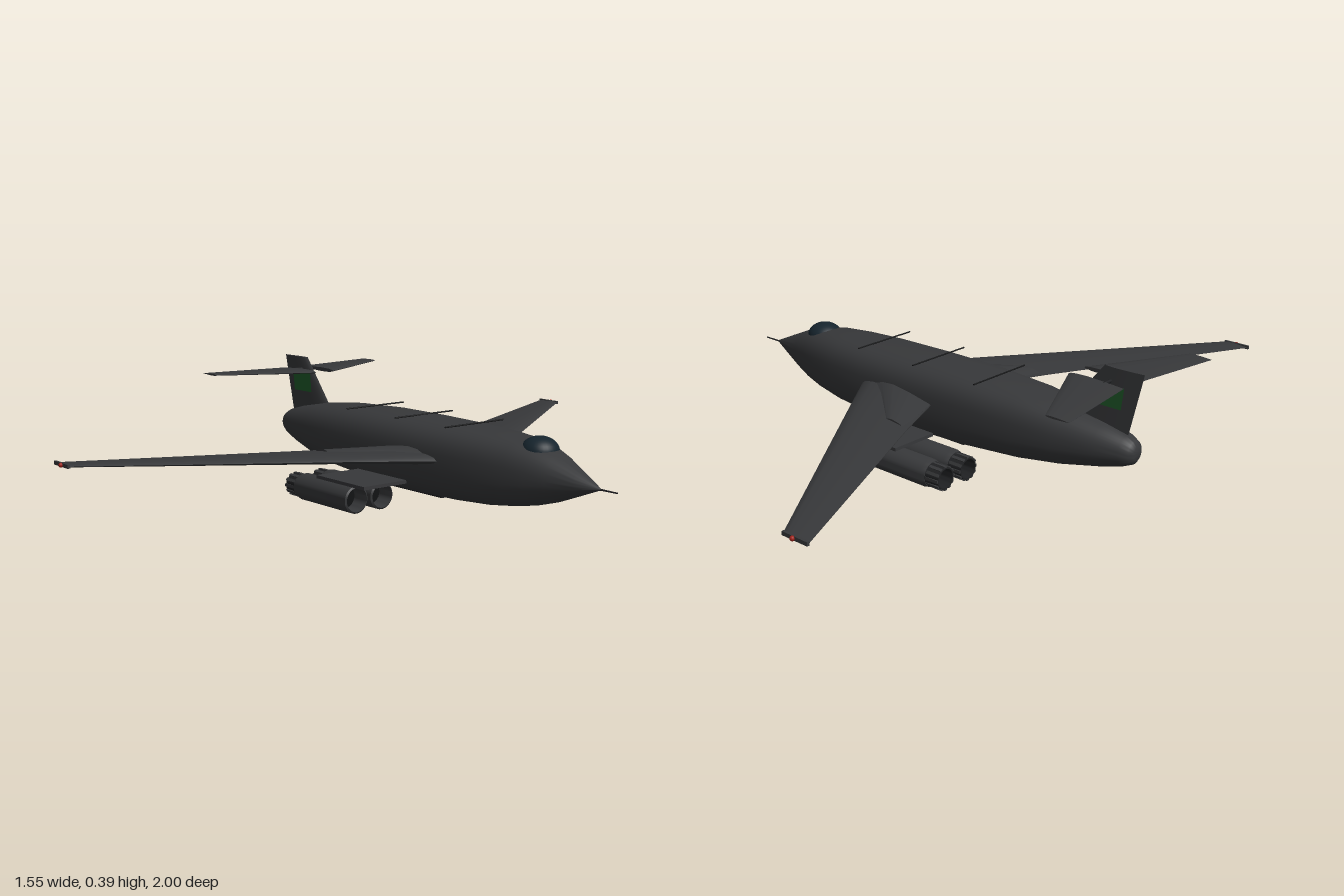
import * as THREE from 'three';
import { toCreasedNormals } from 'three/addons/utils/BufferGeometryUtils.js';

const paint = (color) => new THREE.MeshStandardMaterial({ color, side: THREE.DoubleSide });

// Skin a list of closed rings (arrays of [x, y, z]) and cap both ends
function loft(rings, flip, crease = 0.6) {
  const n = rings[0].length;
  const pos = rings.flat(2);
  const index = [];
  const tri = (a, b, c) => (flip ? index.push(a, c, b) : index.push(a, b, c));
  for (let i = 0; i < rings.length - 1; i++) {
    for (let j = 0; j < n; j++) {
      const a = i * n + j, b = i * n + ((j + 1) % n);
      tri(a, a + n, b);
      tri(b, a + n, b + n);
    }
  }
  const last = (rings.length - 1) * n;
  for (let j = 1; j < n - 1; j++) {
    tri(0, j, j + 1);
    tri(last, last + j + 1, last + j);
  }
  const g = new THREE.BufferGeometry();
  g.setAttribute('position', new THREE.Float32BufferAttribute(pos, 3));
  g.setIndex(index);
  return toCreasedNormals(g, crease);
}

// Aerofoil outline as [along chord, thickness] from leading edge over the top and back
function aerofoil(lead, trail, thick) {
  const top = [[0, 0], [0.04, 0.5], [0.15, 0.85], [0.35, 1], [0.65, 0.7], [1, 0.08]];
  const under = top.slice(1).reverse().map(([c, t]) => [c, -t]);
  return [...top, ...under].map(([c, t]) => [lead + (trail - lead) * c, (t * thick) / 2]);
}

// Horizontal surface from stations [z, lead, trail, thickness, y], on side s
const panel = (stations, s) => loft(
  stations.map(([z, l, t, k, y]) => aerofoil(l, t, k).map(([x, h]) => [x, y + h, s * z])), s > 0);

export function createModel() {
  const model = new THREE.Group();
  const skin = paint(0x37383a), dark = paint(0x202123), black = paint(0x111213);
  const green = paint(0x1f5a2a), glass = paint(0x16242d), red = paint(0xa02018);
  const add = (name, geometry, material, x = 0, y = 0, z = 0, parent = model) => {
    const mesh = new THREE.Mesh(geometry, material);
    mesh.name = name;
    mesh.position.set(x, y, z);
    parent.add(mesh);
    return mesh;
  };

  // Fuselage stations: x, bottom, top, half width, squareness
  const stations = [
    [-0.765, 0.14, 0.18, 0.018, 2], [-0.755, 0.126, 0.194, 0.033, 2], [-0.73, 0.115, 0.206, 0.046, 2],
    [-0.66, 0.096, 0.224, 0.067, 2.2], [-0.54, 0.073, 0.246, 0.096, 2.5], [-0.4, 0.056, 0.26, 0.116, 2.8],
    [-0.2, 0.042, 0.267, 0.127, 3], [0, 0.037, 0.267, 0.129, 3], [0.2, 0.04, 0.264, 0.125, 3],
    [0.33, 0.047, 0.26, 0.115, 2.9], [0.43, 0.059, 0.254, 0.1, 2.7], [0.5, 0.073, 0.241, 0.084, 2.5],
    [0.56, 0.09, 0.223, 0.066, 2.2], [0.64, 0.12, 0.187, 0.035, 2], [0.716, 0.149, 0.152, 0.002, 2],
  ];
  const power = (v, e) => Math.sign(v) * Math.abs(v) ** e;
  const hull = stations.map(([x, lo, hi, w, p]) => Array.from({ length: 40 }, (_, j) => {
    const a = (j / 40) * Math.PI * 2;
    return [x, (lo + hi) / 2 + ((hi - lo) / 2) * power(Math.sin(a), 2 / p), w * power(Math.cos(a), 2 / p)];
  }));
  add('fuselage', loft(hull, false, 0.9), skin);

  // Nose probe, canopy and belly door
  const probe = new THREE.CylinderGeometry(0.002, 0.003, 0.07, 8).rotateZ(-Math.PI / 2);
  add('noseProbe', probe, dark, 0.74, 0.15, 0);
  add('canopy', new THREE.SphereGeometry(1, 32, 20).scale(0.057, 0.042, 0.055), glass, 0.48, 0.225, 0);
  add('bellyDoor', new THREE.BoxGeometry(0.3, 0.006, 0.11), dark, -0.03, 0.039, 0);

  // Thin rods lying across the back
  for (const x of [-0.27, -0.027, 0.205]) {
    add('crossRod', new THREE.CylinderGeometry(0.0025, 0.0025, 0.23, 6).rotateX(Math.PI / 2), black, x, 0.268, 0);
  }

  // Fin, stations y, lead, trail, thickness
  const fin = [[0.19, -0.48, -0.728, 0.022], [0.39, -0.645, -0.775, 0.014]];
  add('fin', loft(fin.map(([y, l, t, k]) => aerofoil(l, t, k).map(([x, h]) => [x, y, -h])), true), skin);

  // Engine shell with a hollow intake, turned to lie along x
  const lathe = (points) => toCreasedNormals(
    new THREE.LatheGeometry(points.map(([r, x]) => new THREE.Vector2(r, x)), 28).rotateZ(-Math.PI / 2), 0.6);
  const shell = lathe([[0, -0.27], [0.038, -0.27], [0.042, -0.255], [0.042, 0], [0.037, 0.004], [0.035, -0.06], [0, -0.06]]);
  const nozzle = lathe([[0, -0.275], [0.028, -0.275], [0.029, -0.318], [0.033, -0.318], [0.037, -0.265]]);

  for (const s of [1, -1]) {
    const side = s > 0 ? 'front' : 'rear';
    const half = new THREE.Group();
    half.name = s > 0 ? 'rightHalf' : 'leftHalf';
    model.add(half);
    const put = (name, geometry, material, x, y, z) => add(name, geometry, material, x, y, z, half);

    // Wing, with its thicker root fairing
    put('wing', panel([[0.08, 0.21, -0.09, 0.036, 0.165], [0.32, 0.04, -0.198, 0.026, 0.167],
      [0.985, -0.43, -0.52, 0.009, 0.166]], s), skin);
    put('wingRootFairing', panel([[0.1, 0.16, -0.1, 0.058, 0.166], [0.31, -0.1, -0.18, 0.026, 0.167]], s), skin);
    put('wingTipRail', new THREE.BoxGeometry(0.09, 0.011, 0.008), skin, -0.475, 0.166, s * 0.986);
    put('wingTipLight', new THREE.SphereGeometry(0.007, 12, 8), red, -0.47, 0.166, s * 0.992);

    // Tailplane and the fin panel
    put('tailplane', panel([[0.035, -0.548, -0.733, 0.013, 0.35], [0.33, -0.7, -0.777, 0.006, 0.35]], s), skin);
    put('tailplanePivot', new THREE.CylinderGeometry(0.005, 0.005, 0.04, 10).rotateX(Math.PI / 2),
      dark, -0.67, 0.35, s * 0.02);
    const patch = new THREE.Shape([[-0.718, 0.34], [-0.618, 0.34], [-0.612, 0.275], [-0.71, 0.275]]
      .map(([x, y]) => new THREE.Vector2(x, y)));
    put('finPanel', new THREE.ShapeGeometry(patch), green, 0, 0, s * 0.0105);

    // Twin engines under a flat mounting plate
    put('enginePlate', new THREE.BoxGeometry(0.235, 0.01, 0.158), skin, -0.035, 0.094, s * 0.24);
    for (const z of [0.19, 0.285]) {
      const engine = new THREE.Group();
      engine.name = side + 'Engine';
      engine.position.set(0, 0.043, s * z);
      half.add(engine);
      add('engineShell', shell, skin, 0, 0, 0, engine);
      add('nozzle', nozzle, dark, 0, 0, 0, engine);
      add('intakeFace', new THREE.CircleGeometry(0.035, 24).rotateY(Math.PI / 2), black, -0.055, 0, 0, engine);
      add('engineMount', new THREE.BoxGeometry(0.12, 0.014, 0.016), dark, -0.08, 0.045, 0, engine);
      for (let i = 0; i < 12; i++) {
        const a = (i / 12) * Math.PI * 2;
        const petal = add('nozzlePetal', new THREE.BoxGeometry(0.045, 0.004, 0.009), skin,
          -0.295, 0.035 * Math.cos(a), 0.035 * Math.sin(a), engine);
        petal.rotation.x = a;
      }
    }
  }
  return model;
}
